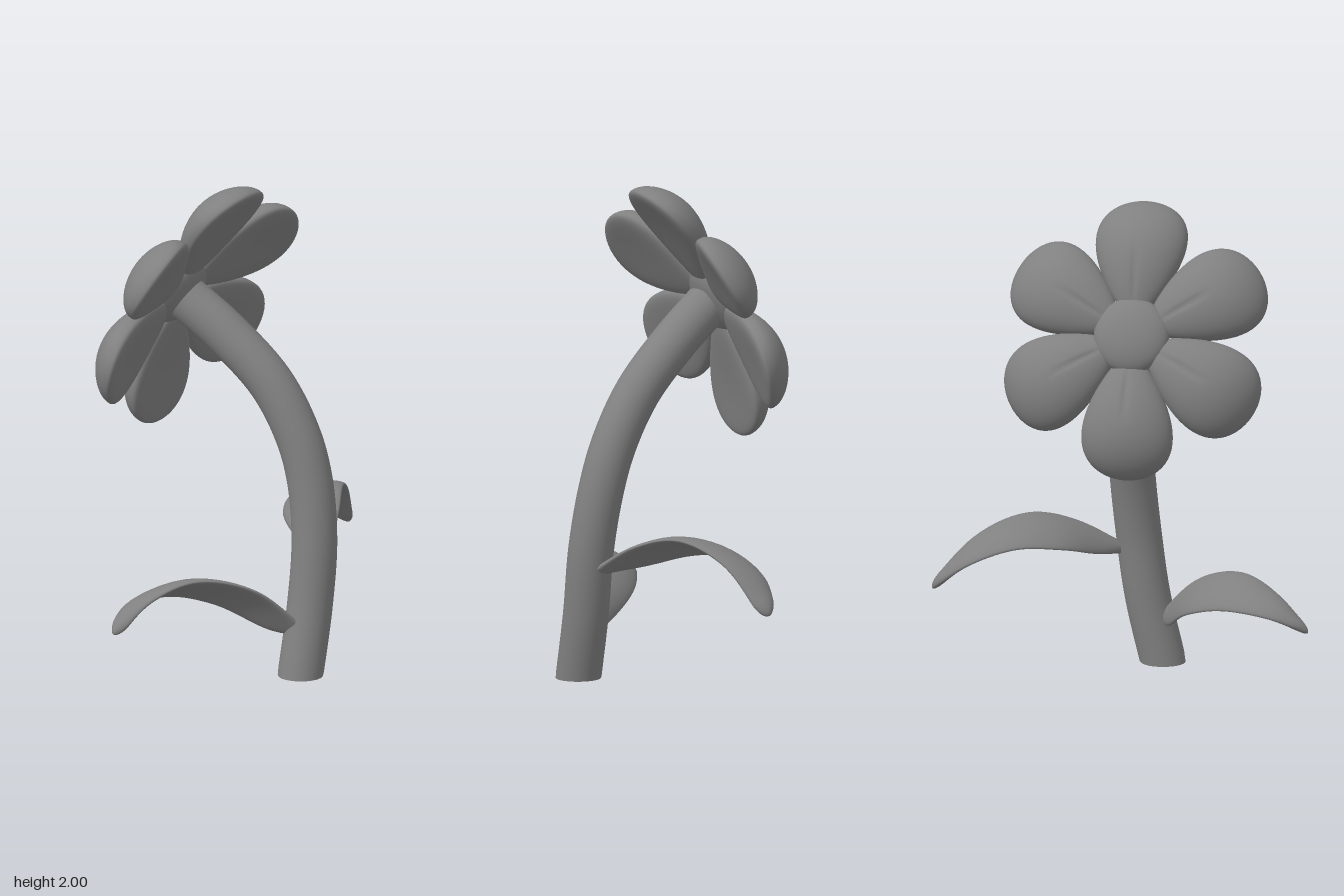
import * as THREE from 'three';
import { mergeVertices } from 'three/addons/utils/BufferGeometryUtils.js';

const material = new THREE.MeshStandardMaterial({ color: 0x808080 });
const curve = (pts) => new THREE.CatmullRomCurve3(pts.map((p) => new THREE.Vector3(...p)));

function addMesh(parent, name, geometry) {
  const mesh = new THREE.Mesh(geometry, material);
  mesh.name = name;
  parent.add(mesh);
  return mesh;
}

// Weld seams so that the normals run smoothly all the way round
function smooth(geometry) {
  geometry.deleteAttribute('uv');
  geometry.deleteAttribute('normal');
  const welded = mergeVertices(geometry, 1e-5);
  welded.computeVertexNormals();
  return welded;
}

// Plump teardrop petal: a sphere tapered to its root, bent back and lightly grooved
function petalGeometry() {
  const geometry = new THREE.SphereGeometry(1, 80, 32);
  const pos = geometry.attributes.position;
  for (let i = 0; i < pos.count; i++) {
    const s = pos.getY(i);
    const face = pos.getZ(i);
    const x = pos.getX(i) * 0.176 * (1 + 0.4 * s);
    const r = 0.328 + 0.248 * s;
    const thickness = (face > 0 ? 0.084 : 0.058) * (1 + 0.3 * s);
    let z = Math.sign(face) * Math.abs(face) ** 0.85 * thickness;
    z -= 0.1 * (r / 0.57) ** 4 + 0.9 * x * x;
    if (face > 0) {
      const along = Math.max(0, 1 - ((s + 0.3) / 0.5) ** 2);
      z -= 0.009 * along * Math.exp(-((x / 0.01) ** 2));
    }
    pos.setXYZ(i, x, r, z);
  }
  return smooth(geometry);
}

// Arched leaf: rounded sections lofted between two edge curves, with a rounded tip
function leafGeometry(edgeA, edgeB) {
  const a = curve(edgeA), b = curve(edgeB);
  const rows = 40, cols = 28;
  const positions = [], indices = [];
  const mid = (u) => a.getPointAt(u).add(b.getPointAt(u)).multiplyScalar(0.5);
  for (let i = 0; i <= rows; i++) {
    const u = Math.sin((i / rows) * Math.PI / 2);
    const tip = Math.sqrt(1 - Math.max(0, (u - 0.93) / 0.07) ** 2) + 0.001;
    const half = b.getPointAt(u).sub(a.getPointAt(u)).multiplyScalar(0.5 * tip);
    const tangent = mid(Math.min(1, u + 0.01)).sub(mid(Math.max(0, u - 0.01)));
    const up = tangent.cross(half).normalize();
    const bow = 0.12 * half.length();
    for (let j = 0; j < cols; j++) {
      const angle = (j / cols) * Math.PI * 2;
      const c = Math.cos(angle);
      const p = mid(u).addScaledVector(half, c)
        .addScaledVector(up, 0.021 * tip * Math.sin(angle) + bow * (1 - c * c));
      positions.push(p.x, p.y, p.z);
      if (i < rows) {
        const k = (j + 1) % cols;
        const p0 = i * cols + j, p1 = i * cols + k;
        indices.push(p0, p1, p0 + cols, p1, p1 + cols, p0 + cols);
      }
    }
  }
  const geometry = new THREE.BufferGeometry();
  geometry.setAttribute('position', new THREE.Float32BufferAttribute(positions, 3));
  geometry.setIndex(indices);
  geometry.computeVertexNormals();
  return geometry;
}

export function createModel() {
  const model = new THREE.Group();
  model.name = 'flowerPlant';

  // Curved stem with a level foot
  const radius = 0.093, sides = 40;
  const stemPath = curve([
    [-0.1, 0, 0.372], [-0.035, 0.28, 0.372], [0.002, 0.55, 0.368], [0.02, 0.8, 0.33],
    [0.017, 0.98, 0.27], [-0.002, 1.18, 0.15], [-0.045, 1.37, -0.05], [-0.083, 1.49, -0.21],
  ]);
  const stem = new THREE.TubeGeometry(stemPath, 64, radius, sides);
  for (let i = 0; i <= sides; i++) stem.attributes.position.setY(i, 0);
  addMesh(model, 'stem', stem);
  const foot = addMesh(model, 'stemFoot', new THREE.CircleGeometry(radius, sides));
  foot.rotation.x = Math.PI / 2;
  foot.position.set(-0.1, 0, 0.372);

  // Flower head, tilted up and facing backwards
  const head = new THREE.Group();
  head.name = 'flowerHead';
  const up = new THREE.Vector3(0, 0.91, 0.41).normalize();
  const facing = new THREE.Vector3(0, 0.41, -0.91).normalize();
  head.quaternion.setFromRotationMatrix(
    new THREE.Matrix4().makeBasis(new THREE.Vector3(-1, 0, 0), up, facing));
  head.position.set(-0.083, 1.51, -0.235);
  model.add(head);

  const petal = petalGeometry();
  for (let i = 0; i < 6; i++) {
    addMesh(head, 'petal', petal).rotation.z = (i * Math.PI) / 3;
  }
  const centre = addMesh(head, 'flowerCentre', new THREE.SphereGeometry(1, 48, 28));
  centre.scale.set(0.155, 0.155, 0.068);
  centre.position.z = 0.018;

  // Leaves, each given by its front and back edges
  const upperFront = [[0.05, 0.46, 0.4], [0.25, 0.59, 0.31], [0.43, 0.64, 0.2],
    [0.62, 0.56, 0.09], [0.78, 0.36, 0]];
  const upperBack = [[0.05, 0.46, 0.34], [0.13, 0.485, 0.19], [0.25, 0.535, 0.03],
    [0.43, 0.55, -0.06], [0.62, 0.485, -0.1], [0.775, 0.375, -0.07]];
  addMesh(model, 'leftLeaf', leafGeometry(upperFront, upperBack));

  const lowerFront = [[-0.1, 0.2, 0.4], [-0.28, 0.38, 0.28], [-0.485, 0.445, 0.13],
    [-0.65, 0.38, 0.02], [-0.78, 0.25, -0.05]];
  const lowerBack = [[-0.1, 0.17, 0.36], [-0.14, 0.18, 0.25], [-0.25, 0.28, 0.05],
    [-0.42, 0.335, -0.07], [-0.62, 0.325, -0.125], [-0.775, 0.27, -0.1]];
  addMesh(model, 'rightLeaf', leafGeometry(lowerBack, lowerFront));

  return model;
}
